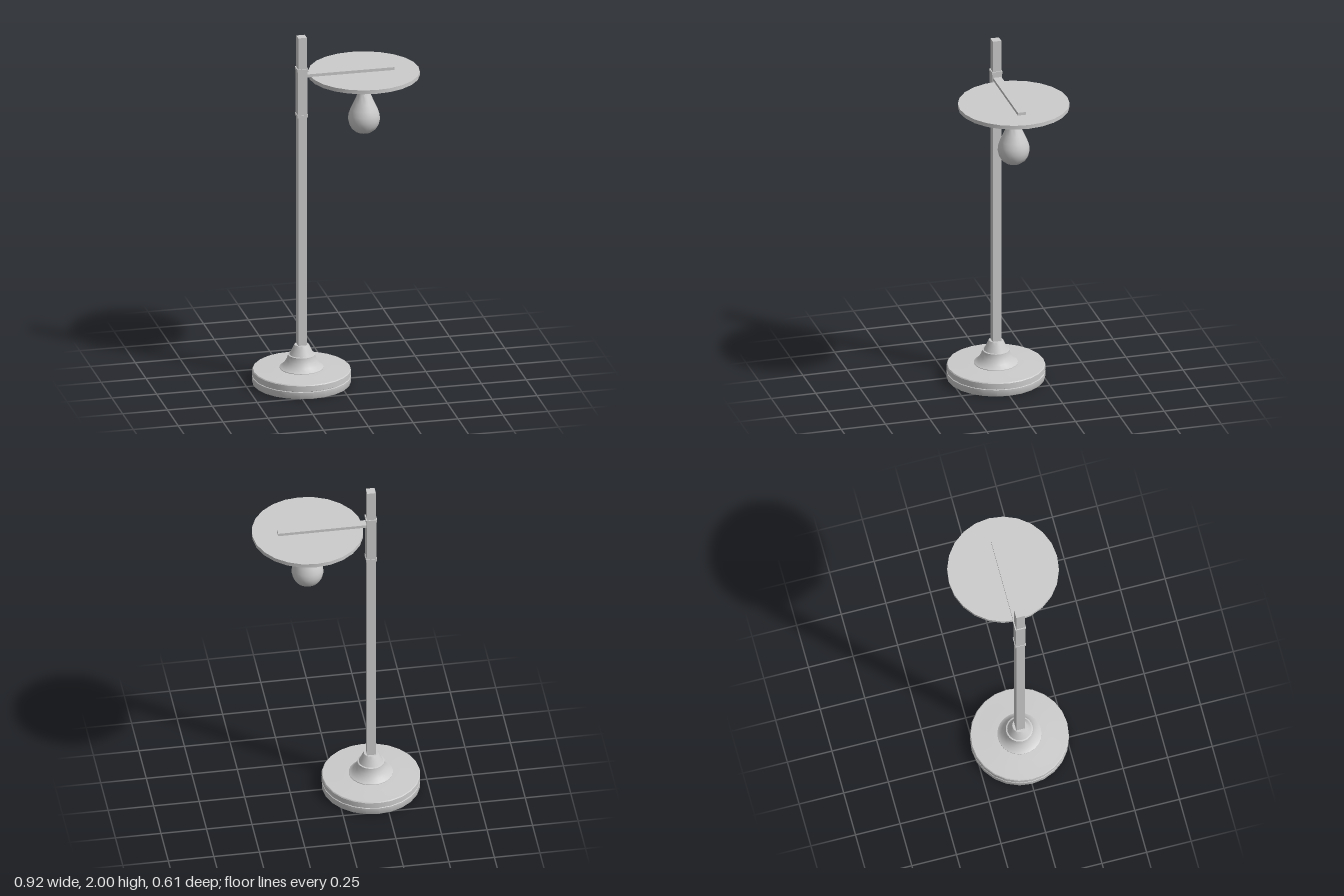
import * as THREE from 'three';
import { toCreasedNormals } from 'three/addons/utils/BufferGeometryUtils.js';

const POST_X = -0.193;
const BOARD_X = 0.155;

export function createModel() {
  const model = new THREE.Group();
  const material = new THREE.MeshStandardMaterial({ color: 0xcccccc });

  const add = (name, geometry, x, y = 0, z = 0) => {
    const mesh = new THREE.Mesh(geometry, material);
    mesh.name = name;
    mesh.position.set(x, y, z);
    model.add(mesh);
    return mesh;
  };
  const box = (name, w, y0, y1, d, x) =>
    add(name, new THREE.BoxGeometry(w, y1 - y0, d), x, (y0 + y1) / 2);
  // Profile points are [radius, height], from the bottom up
  const turned = (name, profile, x, segments = 24) => {
    const points = profile.map(([r, y]) => new THREE.Vector2(r, y));
    add(name, toCreasedNormals(new THREE.LatheGeometry(points, segments), 0.6), x);
  };

  // Weighted base with a seam round its rim and a gently stepped top
  turned('base', [
    [0, 0], [0.266, 0], [0.268, 0.003], [0.268, 0.038], [0.264, 0.04], [0.264, 0.043],
    [0.268, 0.045], [0.268, 0.075], [0.264, 0.08], [0.215, 0.082], [0.165, 0.085],
    [0.12, 0.087], [0, 0.087],
  ], POST_X);

  // Flared collar holding the foot of the post
  turned('baseCollar', [
    [0.12, 0.08], [0.12, 0.09], [0.113, 0.094], [0.096, 0.11], [0.083, 0.132], [0.074, 0.157],
    [0.074, 0.163], [0.066, 0.165], [0.058, 0.18], [0.048, 0.202], [0.039, 0.22], [0, 0.22],
  ], POST_X);

  // Square post and the height-adjusting sleeve with a lip at each end
  box('post', 0.048, 0.2, 2, 0.048, POST_X);
  box('sleeve', 0.054, 1.54, 1.82, 0.054, POST_X);
  for (const y of [1.54, 1.805]) box('sleeveLip', 0.06, y, y + 0.015, 0.06, POST_X);

  // Arm lying across the round board
  box('arm', 0.49, 1.77, 1.787, 0.047, 0.075);
  const board = new THREE.CylinderGeometry(0.303, 0.303, 0.022, 24);
  add('board', toCreasedNormals(board, 0.6), BOARD_X, 1.76);

  // Swivel: mounting plate, hub, pin and hook
  turned('swivel', [
    [0, 1.66], [0.006, 1.66], [0.006, 1.685], [0.011, 1.692], [0.011, 1.702], [0.006, 1.708],
    [0.006, 1.722], [0.024, 1.725], [0.024, 1.737], [0.042, 1.74], [0.042, 1.75], [0, 1.75],
  ], BOARD_X, 16);

  // Teardrop bag
  turned('bag', [
    [0, 1.414], [0.022, 1.416], [0.045, 1.424], [0.066, 1.441], [0.08, 1.465], [0.087, 1.495],
    [0.084, 1.525], [0.073, 1.556], [0.056, 1.592], [0.04, 1.628], [0.03, 1.652],
    [0.023, 1.67], [0, 1.67],
  ], BOARD_X);

  return model;
}
